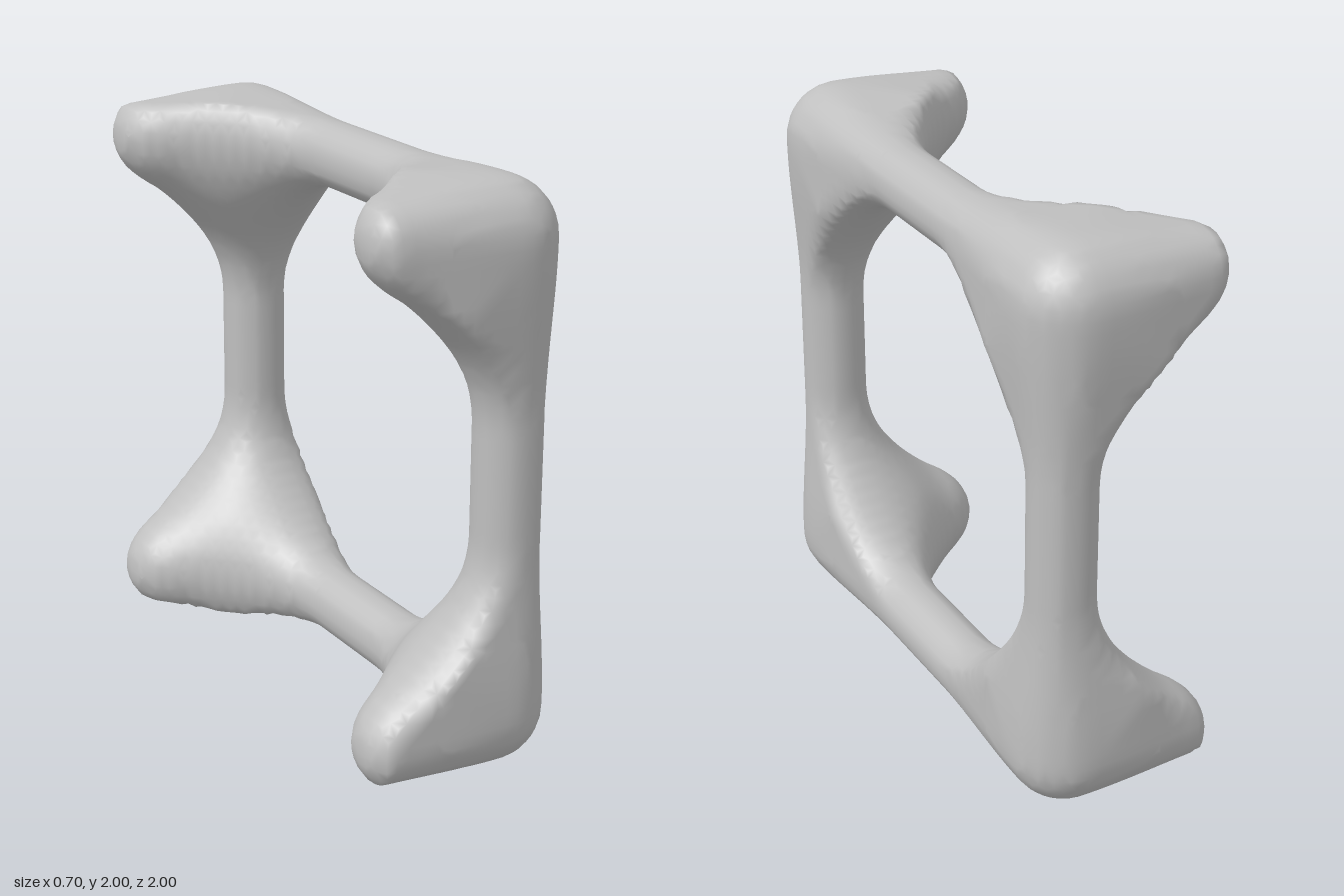
import * as THREE from 'three';

// Frame axes: square of four bars in the y-z plane, with a prong toward -x at every corner
const BAR = 0.115, AXIS = 0.845, AXIS_X = 0.195, BLEND = 0.55, PRONG = 0.42;

const smoothMin = (p, q, k) => {
  const h = Math.max(k - Math.abs(p - q), 0) / k;
  return Math.min(p, q) - h * h * k / 4;
};

// Signed distance; a, b, c run from the nearest corner along its three arms
function field(x, y, z) {
  const a = AXIS_X - x, b = AXIS - Math.abs(y - 1), c = AXIS - Math.abs(z);
  const arm = (s, u, v, len) => {
    const e = s < 0 ? s : Math.max(s - len, 0);
    return Math.hypot(e, u, v) - BAR;
  };
  const d = [arm(a, b, c, PRONG), arm(b, a, c, 9), arm(c, a, b, 9)].sort((p, q) => p - q);
  const webbed = smoothMin(smoothMin(d[0], d[1], BLEND), d[2], BLEND);
  // Rounded outer envelope, swelling a little toward each corner
  const w = 1 - THREE.MathUtils.smoothstep(Math.max(a, b, c), 0.05, 0.62);
  const half = BAR + 0.04 * w, r = BAR + 0.08 * w;
  const q = [a, b, c].map(u => r - half - u);
  const shell = Math.hypot(...q.map(v => Math.max(v, 0))) + Math.min(Math.max(...q), 0) - r;
  return Math.max(webbed, shell);
}

// Skins the field with quads on a regular grid
function skin(f, min, step, n) {
  const [nx, ny, nz] = n;
  const id = (i, j, k) => (i * ny + j) * nz + k;
  const at = (i, j, k) => [min[0] + i * step, min[1] + j * step, min[2] + k * step];
  const value = new Float32Array(nx * ny * nz);
  const vertex = new Int32Array(nx * ny * nz).fill(-1);
  const each = fn => {
    for (let i = 0; i < nx - 1; i++)
      for (let j = 0; j < ny - 1; j++)
        for (let k = 0; k < nz - 1; k++) fn(i, j, k);
  };
  for (let i = 0; i < nx; i++)
    for (let j = 0; j < ny; j++)
      for (let k = 0; k < nz; k++) value[id(i, j, k)] = f(...at(i, j, k));

  // One vertex per crossed cell, pulled onto the surface
  const positions = [], index = [];
  each((i, j, k) => {
    const sum = [0, 0, 0];
    let count = 0;
    for (let m = 0; m < 8; m++) {
      for (let axis = 0; axis < 3; axis++) {
        if (m >> axis & 1) continue;
        const o = [m & 1, m >> 1 & 1, m >> 2 & 1];
        const e = o.slice();
        e[axis] = 1;
        const v0 = value[id(i + o[0], j + o[1], k + o[2])];
        const v1 = value[id(i + e[0], j + e[1], k + e[2])];
        if ((v0 < 0) === (v1 < 0)) continue;
        o[axis] = v0 / (v0 - v1);
        o.forEach((v, s) => { sum[s] += v; });
        count++;
      }
    }
    if (!count) return;
    const p = at(i + sum[0] / count, j + sum[1] / count, k + sum[2] / count);
    for (let pass = 0; pass < 3; pass++) {
      const v = f(...p), h = 0.002;
      const g = [0, 1, 2].map(s => {
        const hi = p.slice(), lo = p.slice();
        hi[s] += h;
        lo[s] -= h;
        return (f(...hi) - f(...lo)) / (2 * h);
      });
      const len = Math.max(g[0] ** 2 + g[1] ** 2 + g[2] ** 2, 0.3);
      const move = THREE.MathUtils.clamp(v / len, -step / 3, step / 3);
      g.forEach((s, t) => { p[t] -= s * move; });
    }
    vertex[id(i, j, k)] = positions.length / 3;
    positions.push(...p);
  });

  // One quad around every crossed grid edge
  each((i, j, k) => {
    for (let axis = 0; axis < 3; axis++) {
      const end = [i, j, k];
      end[axis]++;
      const inside = value[id(i, j, k)] < 0;
      if (inside === value[id(...end)] < 0) continue;
      const cell = (u, v) => {
        const c = [i, j, k];
        c[(axis + 1) % 3] -= u;
        c[(axis + 2) % 3] -= v;
        return vertex[id(...c)];
      };
      const quad = [cell(1, 1), cell(0, 1), cell(0, 0), cell(1, 0)];
      if (!inside) quad.reverse();
      const [p, q, r, s] = quad;
      index.push(p, q, r, p, r, s);
    }
  });

  const geometry = new THREE.BufferGeometry();
  geometry.setAttribute('position', new THREE.Float32BufferAttribute(positions, 3));
  geometry.setIndex(index);
  geometry.computeVertexNormals();
  return geometry;
}

export function createModel() {
  const grey = new THREE.MeshStandardMaterial({ color: 0xbfbfbf });
  grey.name = 'light grey';
  const step = 0.04;
  const frame = new THREE.Mesh(skin(field, [-0.46, -0.1, -1.1], step, [24, 56, 56]), grey);
  frame.name = 'prongedFrame';
  const group = new THREE.Group();
  group.name = 'squareFrameWithProngs';
  group.add(frame);
  return group;
}
